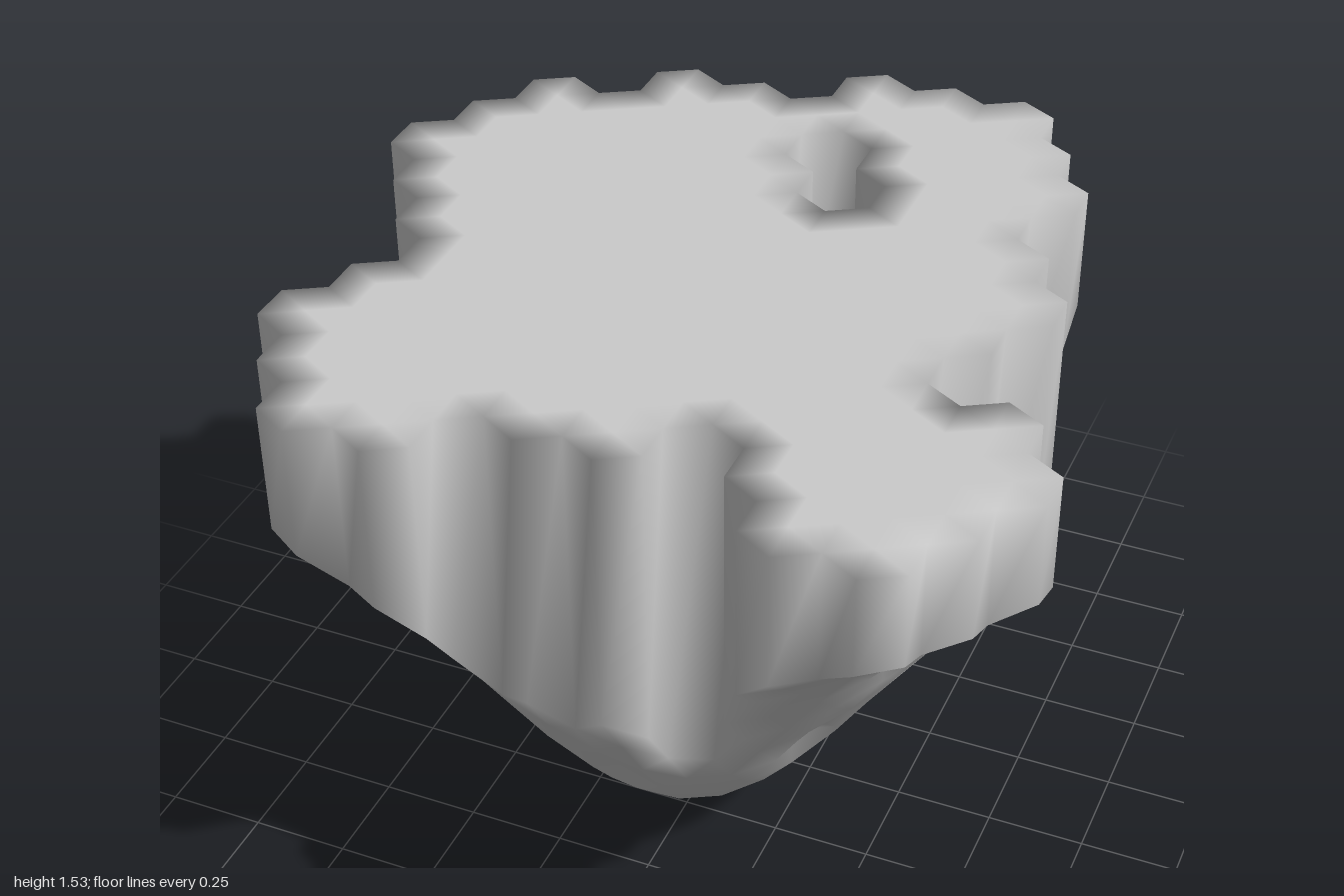
import * as THREE from 'three';
import { mergeVertices } from 'three/addons/utils/BufferGeometryUtils.js';

const R = 2 / 18.5;              // hexagon radius
const W = R * Math.sqrt(3);      // hexagon width
const TOP = 1.53;

// Each row from back to front: [first, last] hexagon of every run
const ROWS = [
  [[5, 7]], [[2, 7]], [[1, 4], [6, 8]], [[0, 4], [6, 7]], [[0, 8]], [[0, 8]],
  [[1, 8]], [[1, 7]], [[1, 9]], [[0, 9]], [[1, 5], [7, 9]], [[1, 2], [7, 8]],
];
// Cells [row, index] with a small recess in the underside
const NOTCHES = [
  [9, 4], [10, 3], [9, 1], [9, 8], [8, 7], [7, 6], [4, 7], [6, 5],
  [3, 3], [5, 2], [2, 7], [4, 2], [6, 3],
];
// Underside height by distance from the lowest point
const PROFILE = [
  [0, 0], [0.1, 0.025], [0.19, 0.08], [0.29, 0.17], [0.44, 0.36], [0.54, 0.52],
  [0.64, 0.67], [0.84, 0.97], [1.0, 1.16], [1.15, 1.28], [1.5, 1.45],
];

function underside(x, z) {
  const d = Math.hypot(x + 0.04, z - 0.13);
  const i = Math.max(1, PROFILE.findIndex(p => p[0] >= d));
  const [a, b] = [PROFILE[i - 1], PROFILE[i]];
  return THREE.MathUtils.mapLinear(d, a[0], b[0], a[1], b[1]);
}

// Columns count in half hexagons, so neighbours are whole steps away
const key = (row, col) => row + ',' + col;
const STEPS = [[1, 1], [1, -1], [0, -2], [-1, -1], [-1, 1], [0, 2]];

function makeCells() {
  const cells = new Map();
  ROWS.forEach((runs, row) => runs.forEach(([first, last]) => {
    for (let j = first; j <= last; j++) {
      const col = 2 * j + row % 2;
      const x = (col - 9.5) * W / 2;
      const z = -1 + R + row * 1.5 * R;
      const notched = NOTCHES.some(n => n[0] === row && n[1] === j);
      const floor = underside(x, z);
      cells.set(key(row, col), {
        row, col, x, z, floor: floor + (notched ? 0.04 : 0),
        low: (px, pz) => notched ? Math.max(underside(px, pz), floor - 0.06) : underside(px, pz),
      });
    }
  }));
  return cells;
}

function islandGeometry() {
  const cells = makeCells();
  const pos = [];
  const tri = (...points) => points.forEach(p => pos.push(...p));

  for (const cell of cells.values()) {
    const corners = Array.from({ length: 6 }, (_, i) => {
      const a = (i + 0.5) * Math.PI / 3;
      return [cell.x + R * Math.cos(a), cell.z + R * Math.sin(a)];
    });
    STEPS.forEach(([dr, dc], i) => {
      const [ax, az] = corners[i], [bx, bz] = corners[(i + 1) % 6];
      const la = cell.low(ax, az), lb = cell.low(bx, bz);

      // Flat top and sloping underside
      tri([cell.x, TOP, cell.z], [bx, TOP, bz], [ax, TOP, az]);
      tri([cell.x, cell.floor, cell.z], [ax, la, az], [bx, lb, bz]);

      // Wall along the open border, or beside a higher recess
      const next = cells.get(key(cell.row + dr, cell.col + dc));
      const ta = next ? next.low(ax, az) : TOP;
      const tb = next ? next.low(bx, bz) : TOP;
      if (ta > la + 1e-4) tri([bx, lb, bz], [ax, la, az], [ax, ta, az]);
      if (tb > lb + 1e-4) tri([bx, lb, bz], [ax, Math.max(ta, la), az], [bx, tb, bz]);
    });
  }

  // Weld the corners so the shading runs smoothly over the edges
  const geo = new THREE.BufferGeometry();
  geo.setAttribute('position', new THREE.Float32BufferAttribute(pos, 3));
  const welded = mergeVertices(geo, 1e-3);
  welded.computeVertexNormals();
  return welded;
}

export function createModel() {
  const group = new THREE.Group();
  group.name = 'floatingIsland';
  const island = new THREE.Mesh(islandGeometry(), new THREE.MeshStandardMaterial({ color: 0xcccccc }));
  island.name = 'hexagonRockBody';
  group.add(island);
  return group;
}
